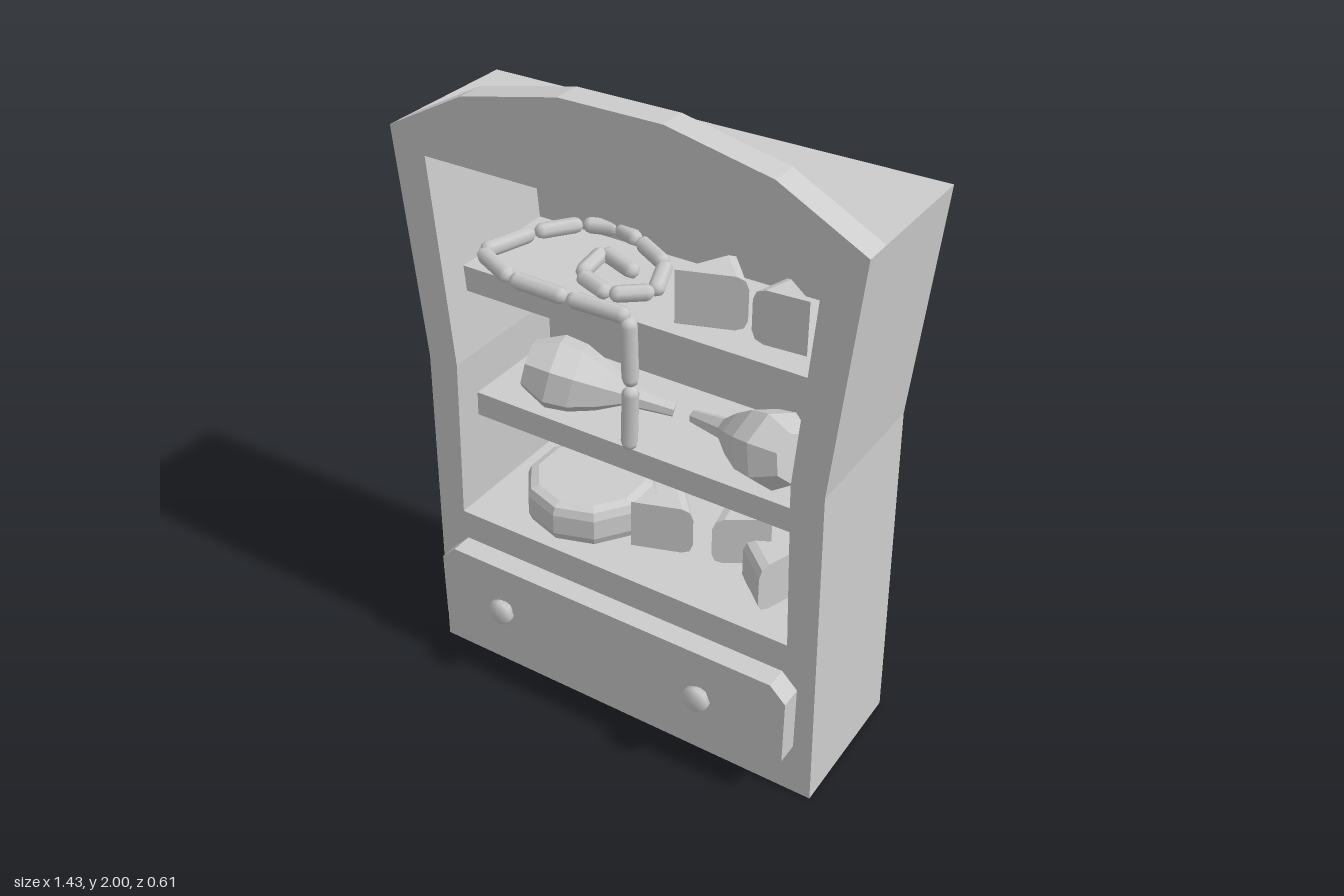
import * as THREE from 'three';

const V2 = (x, y) => new THREE.Vector2(x, y);
const V3 = (x, y, z) => new THREE.Vector3(x, y, z);
const UP = V3(0, 1, 0);

export function createModel() {
  const root = new THREE.Group();
  const flat = new THREE.MeshStandardMaterial({ color: 0xcccccc, flatShading: true, side: THREE.DoubleSide });
  const smooth = new THREE.MeshStandardMaterial({ color: 0xcccccc });

  function add(name, geometry, material = flat, parent = root) {
    const mesh = new THREE.Mesh(geometry, material);
    mesh.name = name;
    parent.add(mesh);
    return mesh;
  }
  function group(name) {
    const g = new THREE.Group();
    g.name = name;
    root.add(g);
    return g;
  }
  // Symmetric polygon from its right half, listed bottom to top
  function mirrored(half) {
    return [...half, ...half.slice().reverse().map(([x, y]) => [-x, y])].map(([x, y]) => V2(x, y));
  }
  function slab(points, z0, z1, hole) {
    const shape = new THREE.Shape(points);
    if (hole) shape.holes.push(new THREE.Path(hole));
    return new THREE.ExtrudeGeometry(shape, { depth: z1 - z0, bevelEnabled: false }).translate(0, 0, z0);
  }

  // Cabinet: waisted frame, back panel and arched crest
  const outline = mirrored([[0.675, 0], [0.65, 1.09], [0.717, 1.8]]);
  const opening = mirrored([[0.57, 0.55], [0.55, 1.09], [0.603, 1.735]]);
  add('cabinetFrame', slab(outline, -0.27, 0.19, opening));
  add('backPanel', slab(outline, -0.283, -0.27));
  add('archedCrest', slab(mirrored([[0.717, 1.8], [0.463, 1.935], [0.155, 2]]), 0.105, 0.19));

  // Shelves
  for (const [top, width] of [[1.37, 1.15], [0.945, 1.12]]) {
    add('shelf', new THREE.BoxGeometry(width, 0.08, 0.37)).position.set(0, top - 0.04, -0.085);
  }

  // Drawer with chamfered corners and two knobs
  add('drawerFront', slab(mirrored([[0.56, 0.13], [0.61, 0.18], [0.61, 0.4], [0.56, 0.45]]), 0.19, 0.26));
  const knobProfile = [[0.026, 0], [0.03, 0.008], [0.044, 0.018], [0.044, 0.032], [0.03, 0.046], [0, 0.048]];
  for (const x of [-0.37, 0.335]) {
    const knob = add('drawerKnob', new THREE.LatheGeometry(knobProfile.map(([r, y]) => V2(r, y)), 8), smooth);
    knob.rotation.x = Math.PI / 2;
    knob.position.set(x, 0.3, 0.259);
  }

  // Cheese: a whole wheel and cut wedges with rounded rims
  const rim = (r, h) => [[0, 0], [r - 0.035, 0], [r - 0.01, 0.01], [r, 0.035], [r, h - 0.035],
    [r - 0.01, h - 0.01], [r - 0.035, h], [0, h]].map(([x, y]) => V2(x, y));
  add('cheeseWheel', new THREE.LatheGeometry(rim(0.205, 0.135), 10)).position.set(-0.243, 0.55, -0.04);

  // Wedge from its tip (x, y, z); angle of the first cut is measured from +z towards +x
  function wedge(x, y, z, start, r) {
    const span = 0.75, profile = rim(r, 0.162);
    const g = group('cheeseWedge');
    g.position.set(x, y, z);
    add('wedgeRind', new THREE.LatheGeometry(profile, 1, start, span), flat, g);
    for (const a of [start, start + span]) {
      add('cutFace', new THREE.ShapeGeometry(new THREE.Shape(profile)), flat, g).rotation.y = a - Math.PI / 2;
    }
  }
  wedge(-0.04, 0.55, 0.05, 1.9, 0.19);
  wedge(0.355, 0.55, -0.1, -1.75, 0.175);
  wedge(0.5, 0.55, -0.06, -1.1, 0.19);
  wedge(0.105, 1.37, 0.05, 1.9, 0.2);
  wedge(0.485, 1.37, 0.01, -2.25, 0.16);

  // Two flasks lying on their sides, necks together
  const flaskProfile = [[0, 0], [0.022, 0], [0.036, 0.15], [0.075, 0.22], [0.108, 0.3], [0.115, 0.37],
    [0.075, 0.45], [0, 0.45]].map(([r, t]) => V2(r, t));
  for (const side of [-1, 1]) {
    const flask = add('flask', new THREE.LatheGeometry(flaskProfile, 7), flat);
    flask.quaternion.setFromUnitVectors(UP, V3(side * 0.4, 0.1, 0.15).normalize());
    flask.position.set(0.045 + side * 0.035, 0.968, -0.11);
  }

  // String of long beads, looped on the top shelf and hanging over its edge
  const beads = group('beadString');
  function string(points) {
    for (let i = 1; i < points.length; i++) {
      const a = V3(...points[i - 1]), b = V3(...points[i]);
      const bead = add('bead', new THREE.CapsuleGeometry(0.025, Math.max(a.distanceTo(b) - 0.052, 0.01), 3, 7), smooth, beads);
      bead.position.copy(a).lerp(b, 0.5);
      bead.quaternion.setFromUnitVectors(UP, b.sub(a).normalize());
    }
  }
  const onShelf = (pts) => pts.map(([x, z]) => [x, 1.4, z]);
  string(onShelf([[-0.29, -0.288], [-0.4, -0.25], [-0.49, -0.13], [-0.545, 0.05], [-0.38, 0.13], [-0.185, 0.135], [0.015, 0.13]]));
  string(onShelf([[-0.3, -0.288], [-0.2, -0.25], [-0.06, -0.17], [0, -0.02], [-0.1, 0.06], [-0.23, 0.01], [-0.25, -0.14], [-0.1, -0.08]]));
  string([[0.015, 1.4, 0.135], [0.02, 1.185, 0.135], [0.01, 0.97, 0.13]]);

  return root;
}
